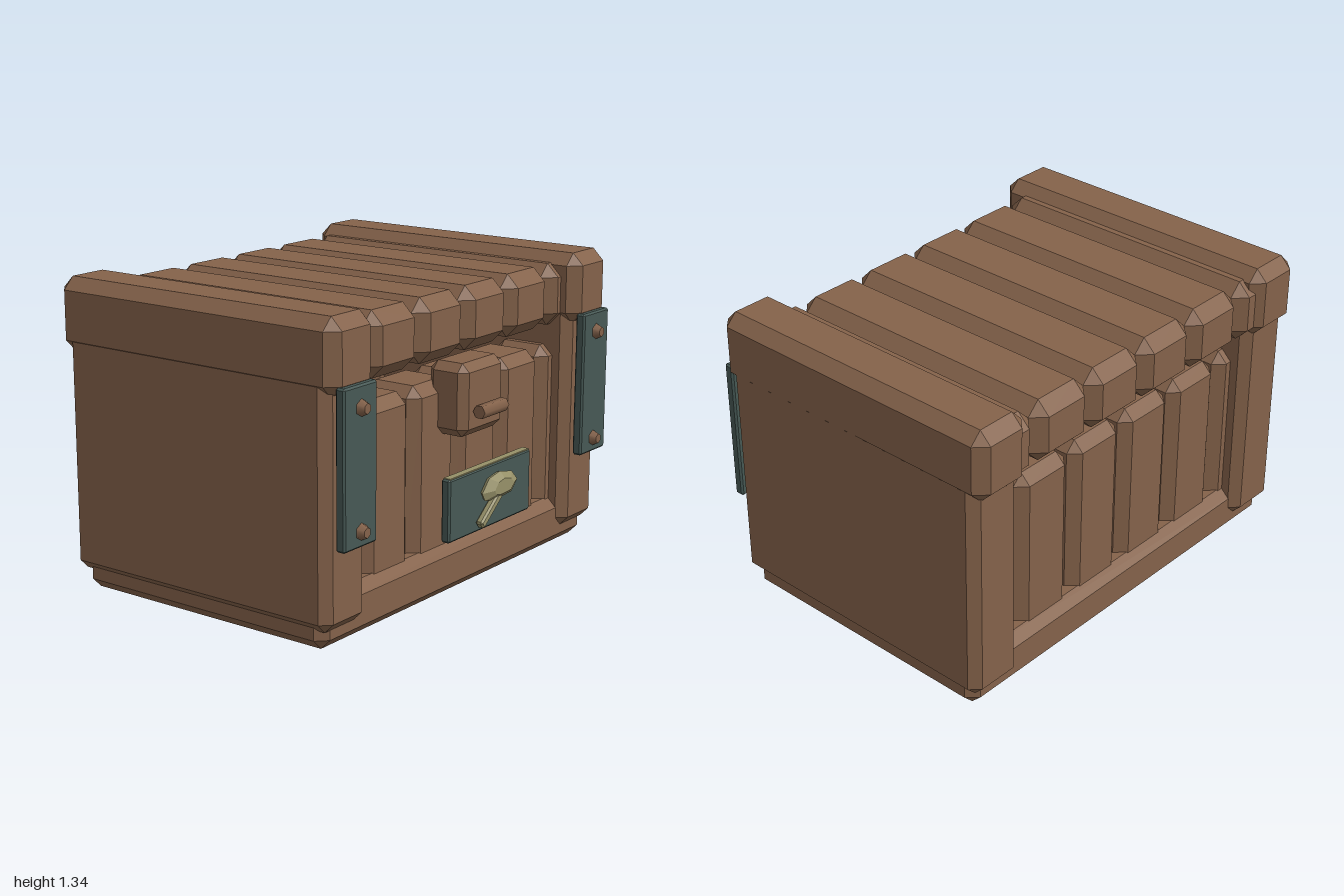
import * as THREE from 'three';
import { ConvexGeometry } from 'three/addons/geometries/ConvexGeometry.js';

const paint = (name, color) => {
  const m = new THREE.MeshStandardMaterial({ color });
  m.name = name;
  return m;
};

export function createModel() {
  const wood = paint('brown wood', 0x84624a);
  const iron = paint('dark teal iron', 0x465854);
  const brass = paint('dull brass', 0x969068);
  const chest = new THREE.Group();
  chest.name = 'chest';

  const add = (name, geometry, material) => {
    const mesh = new THREE.Mesh(geometry, material);
    mesh.name = name;
    chest.add(mesh);
    return mesh;
  };

  // Box with every edge and corner cut by c, given by its [min, max] ranges
  const block = (name, x, y, z, c, material = wood) => {
    const h = [x, y, z].map(([a, b]) => (b - a) / 2);
    const points = [];
    for (const sx of [-1, 1]) for (const sy of [-1, 1]) for (const sz of [-1, 1])
      for (let axis = 0; axis < 3; axis++) {
        const p = h.map((v, i) => (i === axis ? v : v - c));
        points.push(new THREE.Vector3(sx * p[0], sy * p[1], sz * p[2]));
      }
    const mesh = add(name, new ConvexGeometry(points), material);
    mesh.position.set((x[0] + x[1]) / 2, (y[0] + y[1]) / 2, (z[0] + z[1]) / 2);
    return mesh;
  };

  // Floor frame
  block('base', [-0.97, 0.97], [0, 0.22], [-0.69, 0.6], 0.045);

  // Lid slats with the upright planks below them, front and back
  for (let i = 0; i < 6; i++) {
    const x = (i - 2.5) * 0.322;
    block('lidSlat', [x - 0.161, x + 0.161], [1.02, 1.295], [-0.745, 0.6], 0.057);
    block('frontPlank', [x - 0.151, x + 0.151], [0.15, 0.925], [0.28, 0.56], 0.047);
    block('backPlank', [x - 0.151, x + 0.151], [0.15, 0.925], [-0.65, -0.37], 0.047);
  }

  // Solid ends, lid end beams and bolted corner straps
  for (const s of [-1, 1]) {
    const span = (a, b) => (s > 0 ? [a, b] : [-b, -a]);
    block('endPanel', span(0.73, 0.997), [0.085, 1.12], [-0.73, 0.64], 0.042);
    block('lidEndBeam', span(0.723, 1), [1.025, 1.34], [-0.775, 0.68], 0.052);
    block('cornerStrap', span(0.76, 0.968), [0.43, 1.075], [0.66, 0.705], 0.008, iron);
    for (const y of [0.495, 0.985]) {
      const bolt = add('bolt', new THREE.CylinderGeometry(0.022, 0.04, 0.04, 6), wood);
      bolt.rotation.x = Math.PI / 2;
      bolt.position.set(s * 0.862, y, 0.715);
    }
  }

  // Latch block with its pull bar
  block('latch', [-0.152, 0.152], [0.7, 1.01], [0.5, 0.69], 0.035);
  const bar = add('latchBar', new THREE.CylinderGeometry(0.03, 0.03, 0.18, 6), wood);
  bar.rotation.z = Math.PI / 2;
  bar.position.set(0, 0.81, 0.722);

  // Lock plate with a brass upper edge
  block('lockPlate', [-0.303, 0.303], [0.3, 0.57], [0.685, 0.728], 0.008, iron);
  block('lockPlateEdge', [-0.295, 0.295], [0.567, 0.573], [0.69, 0.724], 0.001, brass);

  // Faceted brass knob: an outline with a smaller raised face
  const outline = [[-0.09, 0.465], [-0.04, 0.52], [0.04, 0.535], [0.13, 0.515],
    [0.175, 0.47], [0.13, 0.425], [0, 0.418], [-0.07, 0.43]];
  const knob = [];
  for (const [z, k] of [[0.722, 0.85], [0.745, 1], [0.77, 0.55]])
    for (const [x, y] of outline)
      knob.push(new THREE.Vector3(0.04 + (x - 0.04) * k, 0.475 + (y - 0.475) * k, z));
  add('lockKnob', new ConvexGeometry(knob), brass);

  // Slanting handle below the knob
  const handle = block('lockHandle', [-0.13, 0.05], [0.37, 0.408], [0.73, 0.765], 0.008, brass);
  handle.rotation.z = 0.68;

  return chest;
}
